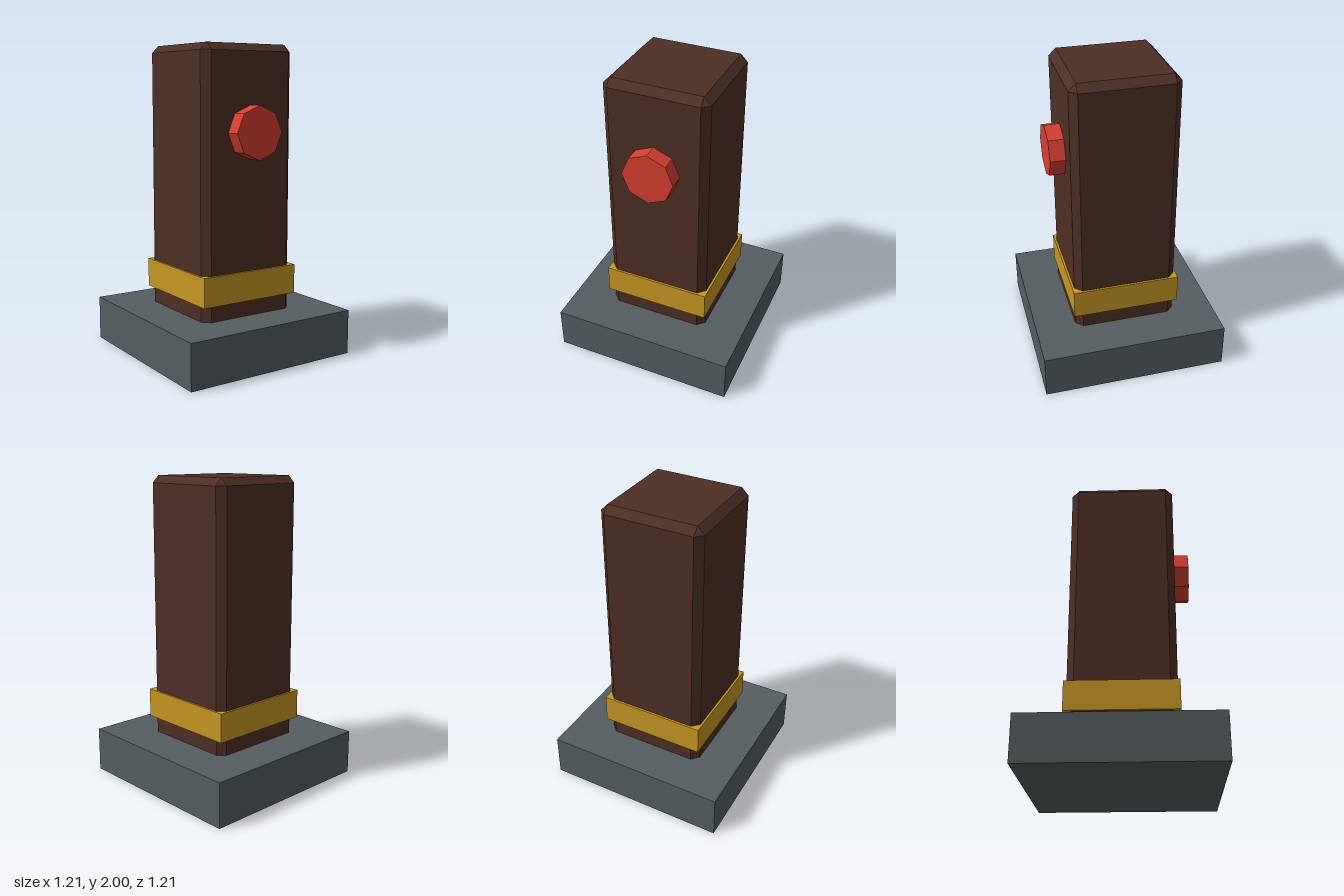
import * as THREE from 'three';
import { ConvexGeometry } from 'three/addons/geometries/ConvexGeometry.js';

const material = (name, color) => {
  const m = new THREE.MeshStandardMaterial({ color, flatShading: true });
  m.name = name;
  return m;
};

// Box centred on the origin with every edge and corner cut at 45 degrees
function chamferedBox(w, h, d, c) {
  const points = [];
  for (const sx of [-1, 1]) for (const sy of [-1, 1]) for (const sz of [-1, 1]) {
    for (let axis = 0; axis < 3; axis++) {
      const inset = [c, c, c];
      inset[axis] = 0;
      points.push(new THREE.Vector3(
        sx * (w / 2 - inset[0]), sy * (h / 2 - inset[1]), sz * (d / 2 - inset[2])));
    }
  }
  return new ConvexGeometry(points);
}

export function createModel() {
  const group = new THREE.Group();
  group.name = 'post';
  const stone = material('stone grey', 0x555e61);
  const wood = material('dark brown', 0x4e2f25);
  const gold = material('gold', 0xc69723);
  const red = material('red', 0xd63f31);

  const add = (name, geometry, mat, x, y, z) => {
    const mesh = new THREE.Mesh(geometry, mat);
    mesh.name = name;
    mesh.position.set(x, y, z);
    group.add(mesh);
    return mesh;
  };

  // Square plinth
  add('base', new THREE.BoxGeometry(1.21, 0.29, 1.21), stone, 0, 0.145, 0);

  // Chamfered column, its lower end sunk into the plinth
  const bottom = 0.24, top = 2;
  add('column', chamferedBox(0.676, top - bottom, 0.676, 0.046), wood, 0, (top + bottom) / 2, 0);

  // Metal band around the foot of the column
  add('band', new THREE.BoxGeometry(0.704, 0.19, 0.704), gold, 0, 0.486, 0);

  // Eight-sided button on the front
  const button = new THREE.CylinderGeometry(0.168, 0.168, 0.135, 8).rotateX(Math.PI / 2);
  add('button', button, red, 0, 1.457, 0.3685);

  return group;
}
